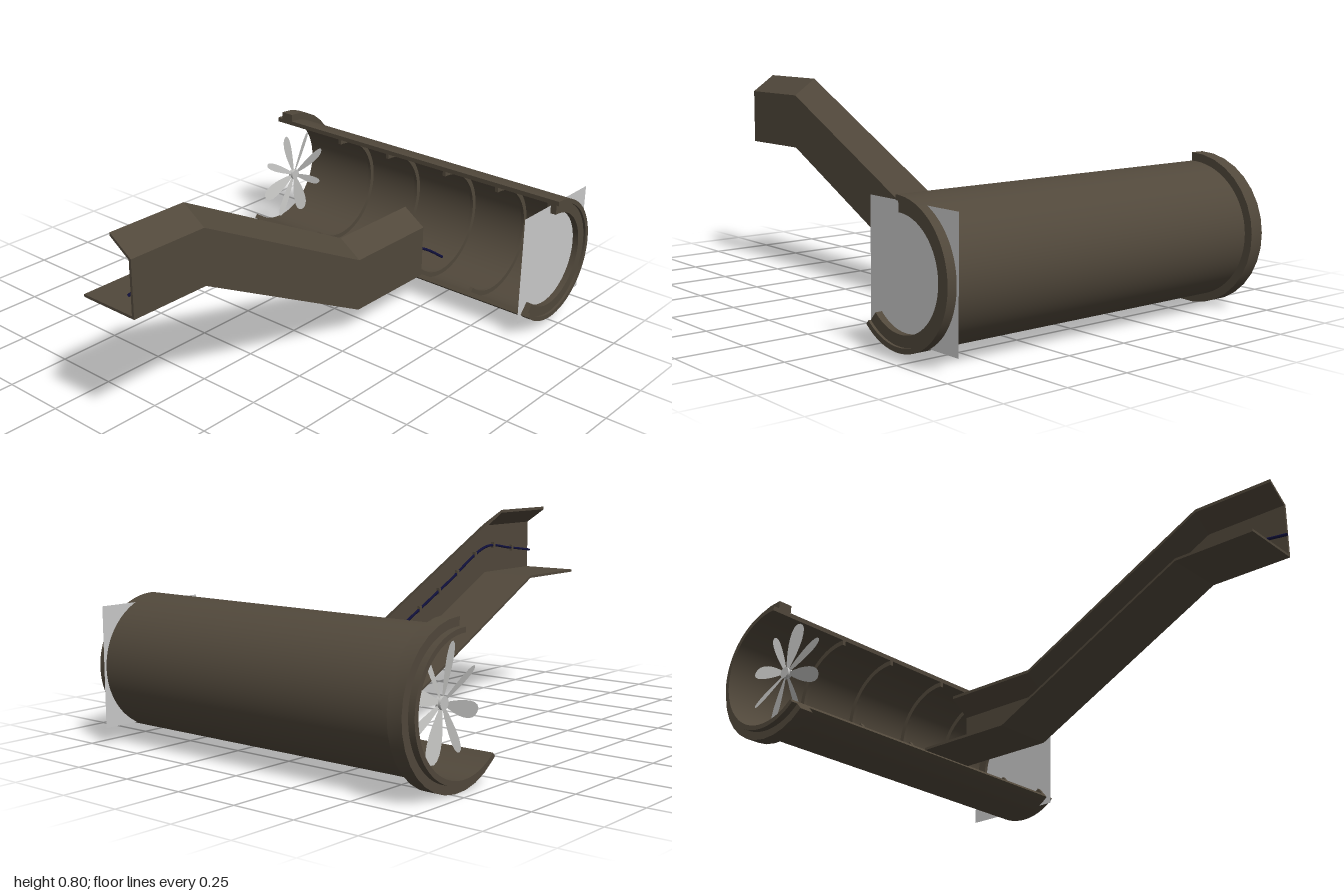
import * as THREE from 'three';
import { toCreasedNormals } from 'three/addons/utils/BufferGeometryUtils.js';

const mat = (name, color) => new THREE.MeshStandardMaterial({ name, color, side: THREE.DoubleSide });
const CX = 0.72, CY = 0.284; // tunnel axis
const START = THREE.MathUtils.degToRad(-131), END = THREE.MathUtils.degToRad(91);

// Curved strip of a tube, open on the side facing the arm
function arcStrip(outer, inner, z0, z1, segments, crease) {
  const shape = new THREE.Shape();
  shape.absarc(0, 0, outer, START, END, false);
  shape.absarc(0, 0, inner, END, START, true);
  const geo = new THREE.ExtrudeGeometry(shape, { depth: z1 - z0, bevelEnabled: false, curveSegments: segments });
  geo.translate(CX, CY, z0);
  return toCreasedNormals(geo, crease);
}

// Channel section (z, y) swept through stations (x, base y)
function channel(section, stations) {
  const pos = [], index = [], n = section.length;
  for (const [x, base] of stations) for (const [z, y] of section) pos.push(x, base + y, z);
  for (let s = 0; s < stations.length - 1; s++) {
    for (let i = 0; i < n; i++) {
      const j = (i + 1) % n, a = s * n, b = a + n;
      index.push(a + i, b + i, b + j, a + i, b + j, a + j);
    }
  }
  const last = (stations.length - 1) * n;
  const caps = THREE.ShapeUtils.triangulateShape(section.map(([z, y]) => new THREE.Vector2(z, y)), []);
  for (const [a, b, c] of caps) index.push(a, b, c, last + a, last + c, last + b);
  const geo = new THREE.BufferGeometry();
  geo.setAttribute('position', new THREE.Float32BufferAttribute(pos, 3));
  geo.setIndex(index);
  const flat = geo.toNonIndexed();
  flat.computeVertexNormals();
  return flat;
}

function petal(length, width) {
  const s = new THREE.Shape();
  s.moveTo(0.015, -0.005);
  s.bezierCurveTo(length * 0.5, -width * 0.6, length, -width * 0.8, length, 0);
  s.bezierCurveTo(length, width * 0.8, length * 0.5, width * 0.6, 0.015, 0.005);
  return new THREE.ShapeGeometry(s, 8);
}

export function createModel() {
  const model = new THREE.Group();
  const brown = mat('brown rock', 0x51483b);
  const grey = mat('pale grey panel', 0xcacaca);
  const silver = mat('fan silver', 0xc4c4c2);
  const navy = mat('navy cable', 0x10103c);
  const add = (name, geo, material, parent = model) => {
    const mesh = new THREE.Mesh(geo, material);
    mesh.name = name;
    parent.add(mesh);
    return mesh;
  };

  // Main tunnel shell, rear collar and inner ribs
  add('tunnelShell', arcStrip(0.25, 0.232, -0.73, 0.725, 40, 0.5), brown);
  add('rearCollar', arcStrip(0.281, 0.24, -0.705, -0.648, 10, 0.2), brown);
  for (const z of [-0.37, -0.11, 0.185, 0.44]) {
    add('innerRib', arcStrip(0.24, 0.212, z - 0.007, z + 0.007, 40, 0.5), brown);
  }
  add('frontRib', arcStrip(0.24, 0.193, 0.675, 0.715, 40, 0.5), brown);

  // Square panel closing the front end
  const panel = add('frontPanel', new THREE.PlaneGeometry(0.445, 0.445), grey);
  panel.position.set(0.757, 0.287, 0.69);

  // Side passage: floor, front wall and short sloping roof, open at the back
  const t = 0.01;
  const section = [
    [-0.045, 0], [0.2, 0], [0.2, 0.215], [0.105, 0.28],
    [0.105, 0.268], [0.2 - t, 0.21], [0.2 - t, t], [-0.045, t],
  ];
  const stations = [[-0.995, 0.52], [-0.67, 0.52], [0.155, 0.105], [0.567, 0.105]];
  add('sidePassage', channel(section, stations), brown);

  // Cable along the inside of the passage wall
  const route = [
    [-1, 0.605], [-0.84, 0.625], [-0.67, 0.64], [-0.4, 0.51], [-0.1, 0.365], [0.15, 0.255],
    [0.25, 0.225], [0.32, 0.18], [0.39, 0.165], [0.46, 0.225], [0.56, 0.225],
  ].map(([x, y]) => new THREE.Vector3(x, y, 0.184));
  route.push(new THREE.Vector3(0.58, 0.22, 0.22), new THREE.Vector3(0.583, 0.21, 0.29));
  const curve = new THREE.CatmullRomCurve3(route, false, 'centripetal');
  add('cable', new THREE.TubeGeometry(curve, 90, 0.0055, 6), navy);

  // Cable clips
  for (let i = 1; i < 11; i++) {
    const clip = add('cableClip', new THREE.BoxGeometry(0.012, 0.026, 0.016), brown);
    clip.position.copy(curve.getPointAt(i * 0.078));
  }

  // Fan at the rear end, wide and narrow blades alternating
  const fan = new THREE.Group();
  fan.name = 'fan';
  fan.position.set(CX, CY, -0.64);
  for (let i = 0; i < 8; i++) {
    const spoke = new THREE.Group();
    spoke.name = 'fanBlade';
    spoke.rotation.z = i * Math.PI / 4 + 0.3;
    add('blade', petal(0.2, i % 2 ? 0.03 : 0.055), silver, spoke).rotation.x = 0.25;
    fan.add(spoke);
  }
  const hub = add('fanHub', new THREE.CylinderGeometry(0.022, 0.022, 0.02, 16), silver, fan);
  hub.rotation.x = Math.PI / 2;
  model.add(fan);

  return model;
}
